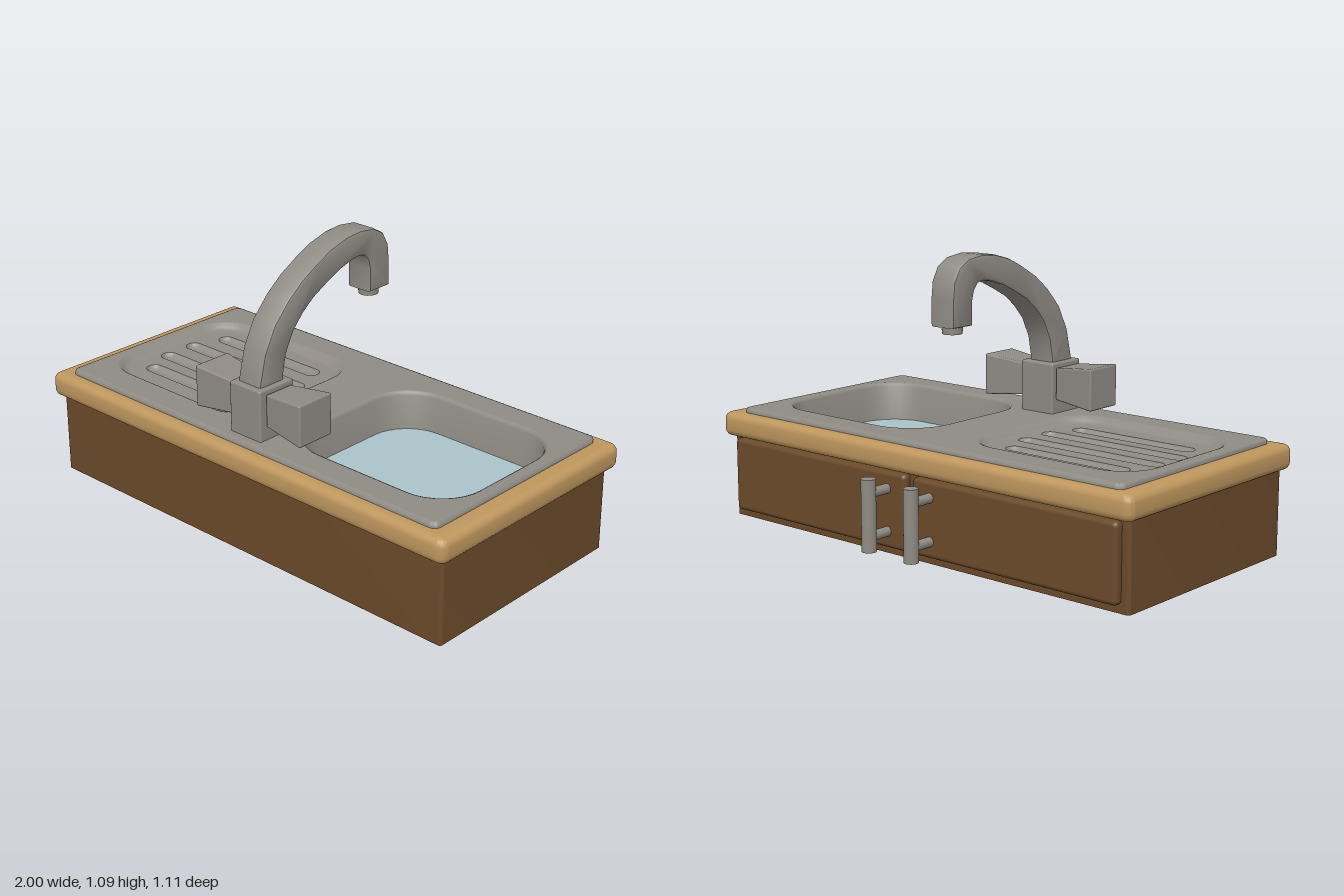
import * as THREE from 'three';
import { toCreasedNormals } from 'three/addons/utils/BufferGeometryUtils.js';
import { RoundedBoxGeometry } from 'three/addons/geometries/RoundedBoxGeometry.js';

const material = (name, color, side = THREE.FrontSide) => {
  const m = new THREE.MeshStandardMaterial({ color, side });
  m.name = name;
  return m;
};

// Rounded rectangle seen from above, as points (x, -z); area = [x0, x1, z0, z1, radius]
function outline([x0, x1, z0, z1, r], inset = 0, n = 8) {
  const rr = Math.max(r - inset, 0.003), pts = [];
  const a = x0 + inset + rr, b = x1 - inset - rr, c = -z1 + inset + rr, d = -z0 - inset - rr;
  [[b, d], [a, d], [a, c], [b, c]].forEach(([x, y], q) => {
    for (let i = 0; i <= n; i++) {
      const t = (q + i / n) * Math.PI / 2;
      pts.push(new THREE.Vector2(x + rr * Math.cos(t), y + rr * Math.sin(t)));
    }
  });
  return pts;
}

// Flat horizontal sheet with holes
function sheet(points, y, holes = []) {
  const s = new THREE.Shape(points);
  holes.forEach(h => s.holes.push(new THREE.Path(h)));
  return new THREE.ShapeGeometry(s).rotateX(-Math.PI / 2).translate(0, y, 0);
}

// Wall through rounded rectangles; steps = [inset, y]
function loft(area, steps) {
  const pos = [], idx = [], rings = steps.map(([inset]) => outline(area, inset));
  const n = rings[0].length;
  rings.forEach((ring, k) => ring.forEach(p => pos.push(p.x, steps[k][1], -p.y)));
  for (let k = 0; k < rings.length - 1; k++) {
    for (let i = 0; i < n; i++) {
      const j = (i + 1) % n, a = k * n, b = a + n;
      idx.push(a + i, a + j, b + i, a + j, b + j, b + i);
    }
  }
  const g = new THREE.BufferGeometry();
  g.setAttribute('position', new THREE.Float32BufferAttribute(pos, 3));
  g.setIndex(idx);
  return toCreasedNormals(g, 0.9);
}

export function createModel() {
  const model = new THREE.Group();
  model.name = 'sinkUnit';
  const steel = material('steel', 0x8f8b84);
  const steelSheet = material('steelSheet', 0x8f8b84, THREE.DoubleSide);
  const darkWood = material('darkWood', 0x6b4a2a, THREE.DoubleSide);
  const lightWood = material('lightWood', 0xbf975e);
  const water = material('water', 0xabc4ca, THREE.DoubleSide);
  const dark = material('drainHoleDark', 0x2b2a28, THREE.DoubleSide);
  const add = (name, geo, mat, x = 0, y = 0, z = 0) => {
    const m = new THREE.Mesh(geo, mat);
    m.name = name;
    m.position.set(x, y, z);
    model.add(m);
    return m;
  };

  // Open-bottomed cabinet
  add('cabinet', loft([-0.97, 0.97, -0.4, 0.52, 0.012], [[0, 0], [0, 0.34]]), darkWood);

  // Worktop frame with rounded edges
  const top = new THREE.Shape(outline([-1, 1, -0.443, 0.557, 0.035]));
  top.holes.push(new THREE.Path(outline([-0.88, 0.88, -0.36, 0.47, 0.04])));
  const topGeo = new THREE.ExtrudeGeometry(top, {
    depth: 0.039, bevelThickness: 0.028, bevelSize: 0.028, bevelOffset: -0.028, bevelSegments: 4,
  }).rotateX(-Math.PI / 2).translate(0, 0.353, 0);
  add('worktop', toCreasedNormals(topGeo, 0.7), lightWood);

  // Steel top with openings for the bowl and drainer
  const plate = [-0.93, 0.925, -0.397, 0.507, 0.03];
  const bowl = [0.105, 0.885, -0.285, 0.4, 0.185];
  const drainer = [-0.885, -0.12, -0.28, 0.39, 0.15];
  add('steelTopEdge', loft(plate, [[0, 0.418], [0, 0.43], [0.004, 0.437], [0.012, 0.44]]), steelSheet);
  add('steelTop', sheet(outline(plate, 0.012), 0.44, [outline(bowl), outline(drainer)]), steelSheet);

  // Bowl, water and drain
  add('bowlWall', loft(bowl, [[0, 0.44], [0.009, 0.436], [0.015, 0.425], [0.016, 0.28],
    [0.03, 0.235], [0.055, 0.21], [0.09, 0.2]]), steelSheet);
  add('bowlFloor', sheet(outline(bowl, 0.09), 0.2), steelSheet);
  add('water', new THREE.PlaneGeometry(0.78, 0.68).rotateX(-Math.PI / 2), water, 0.495, 0.285, 0.06);
  const dx = 0.54, dz = 0.14;
  add('drainRing', new THREE.TorusGeometry(0.075, 0.012, 8, 32).rotateX(Math.PI / 2), steel, dx, 0.198, dz);
  add('drainDisc', new THREE.CylinderGeometry(0.045, 0.045, 0.016, 24), steel, dx, 0.196, dz);
  for (let i = 0; i < 4; i++) {
    const t = i * Math.PI / 2 + Math.PI / 4;
    add('drainHole', new THREE.CylinderGeometry(0.01, 0.01, 0.004, 12), dark,
      dx + 0.024 * Math.cos(t), 0.187, dz + 0.024 * Math.sin(t));
  }

  // Drainer recess with four grooves
  const grooves = [[-0.775, -0.23, -0.15], [-0.825, -0.18, -0.015], [-0.825, -0.18, 0.12], [-0.775, -0.23, 0.243]]
    .map(([x0, x1, z]) => [x0, x1, z - 0.033, z + 0.033, 0.033]);
  add('drainerWall', loft(drainer, [[0, 0.44], [0.008, 0.437], [0.02, 0.424], [0.032, 0.416], [0.045, 0.414]]), steelSheet);
  add('drainerFloor', sheet(outline(drainer, 0.045), 0.414, grooves.map(g => outline(g))), steelSheet);
  grooves.forEach(g => {
    add('grooveWall', loft(g, [[0, 0.414], [0.006, 0.406], [0.015, 0.399], [0.024, 0.397]]), steelSheet);
    add('grooveFloor', sheet(outline(g, 0.024), 0.397), steelSheet);
  });

  // Tap body and curved spout; spout profile is [z, y]
  add('tapBody', new RoundedBoxGeometry(0.155, 0.205, 0.17, 2, 0.008), steel, 0, 0.535, 0.383);
  const outer = [[0.446, 0.62], [0.44, 0.66], [0.415, 0.76], [0.365, 0.855], [0.295, 0.93], [0.225, 0.985],
    [0.145, 1.03], [0.07, 1.065], [-0.01, 1.087], [-0.085, 1.094], [-0.158, 1.085], [-0.21, 1.055],
    [-0.238, 1.005], [-0.245, 0.94], [-0.245, 0.838]];
  const inner = [[-0.138, 0.838], [-0.138, 0.93], [-0.128, 0.968], [-0.11, 0.99], [-0.08, 0.997], [-0.04, 0.992],
    [0.03, 0.97], [0.09, 0.942], [0.165, 0.903], [0.22, 0.86], [0.27, 0.805], [0.308, 0.73], [0.322, 0.66], [0.325, 0.62]];
  const profile = new THREE.Shape([...outer, ...inner].map(([z, y]) => new THREE.Vector2(-z, y)));
  const spout = new THREE.ExtrudeGeometry(profile, {
    depth: 0.092, bevelThickness: 0.011, bevelSize: 0.011, bevelOffset: -0.011, bevelSegments: 2,
  }).translate(0, 0, -0.046).rotateY(Math.PI / 2);
  add('spout', toCreasedNormals(spout, 0.6), steel);
  add('nozzle', new THREE.CylinderGeometry(0.04, 0.038, 0.04, 20), steel, 0, 0.83, -0.19);

  for (const s of [1, -1]) {
    // Flared tap handle, widening outwards
    const handle = new RoundedBoxGeometry(0.185, 0.165, 0.165, 2, 0.008);
    const p = handle.attributes.position;
    for (let i = 0; i < p.count; i++) {
      const k = 0.88 + 0.12 * (s * p.getX(i)) / 0.0925;
      p.setY(i, p.getY(i) * k);
      p.setZ(i, p.getZ(i) * k);
    }
    handle.computeVertexNormals();
    add('tapHandle', handle, steel, s * 0.172, 0.557, 0.378);

    // Cupboard door
    add('door', new RoundedBoxGeometry(0.92, 0.29, 0.045, 3, 0.018), darkWood, s * 0.478, 0.175, -0.41);

    // Door pull on two stems
    add('doorPull', new THREE.CylinderGeometry(0.028, 0.028, 0.272, 20), steel, s * 0.105, 0.176, -0.528);
    for (const y of [0.095, 0.257]) {
      add('pullStem', new THREE.CylinderGeometry(0.019, 0.019, 0.1, 14).rotateX(Math.PI / 2), steel, s * 0.105, y, -0.475);
    }
  }
  return model;
}
